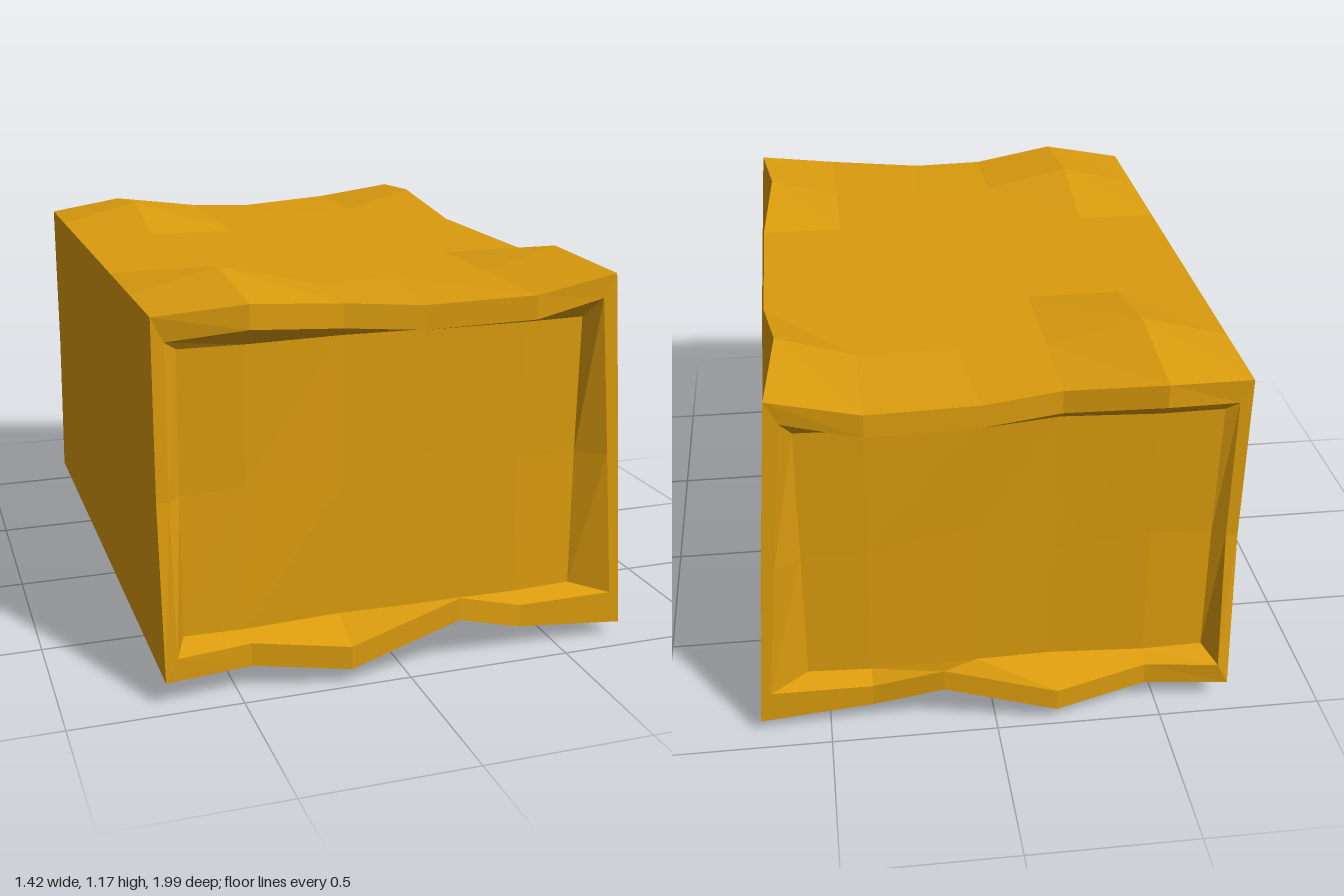
import * as THREE from 'three';

// Each ring: 6 bottom points (left to right), right middle, 6 top points (right to left), left middle
const END = [
  [-0.715, 0.08, 0.965], [-0.46, 0.08, 0.935], [-0.18, 0.055, 0.995], [0.16, 0.15, 0.975], [0.37, 0.08, 0.935], [0.71, 0.047, 0.935],
  [0.672, 0.6, 0.935],
  [0.63, 1.145, 0.935], [0.37, 1.105, 0.965], [0.05, 1.09, 0.925], [-0.18, 1.105, 0.898], [-0.46, 1.135, 0.955], [-0.715, 1.105, 0.9],
  [-0.715, 0.59, 0.905],
];
const BULGE = [
  [-0.715, 0.08, 0.62], [-0.46, 0.08, 0.62], [-0.18, 0.003, 0.645], [0.13, 0.115, 0.62], [0.37, 0.08, 0.62], [0.668, 0.08, 0.62],
  [0.63, 0.6, 0.62],
  [0.597, 1.17, 0.615], [0.37, 1.105, 0.62], [0.08, 1.105, 0.62], [-0.18, 1.105, 0.62], [-0.46, 1.17, 0.615], [-0.715, 1.105, 0.62],
  [-0.715, 0.59, 0.62],
];
const COLUMNS = [-0.715, -0.46, -0.18, 0.09, 0.37, 0.63];
const MIDDLE = [
  ...COLUMNS.map(x => [x, 0.08, 0.3]), [0.63, 0.6, 0.3],
  ...COLUMNS.map(x => [x, 1.105, 0.3]).reverse(), [-0.715, 0.59, 0.3],
];
// Rim edge: the end ring moved inward
const RIM = END.map(([x, y, z], i) => {
  const sx = i === 0 || i >= 12 ? 0.035 : i >= 5 && i <= 7 ? -0.037 : 0;
  const sy = i === 5 ? 0.103 : i < 6 ? 0.07 : i > 6 && i < 13 ? -0.07 : 0;
  return [x + sx, y + sy, z];
});
// Sunken end panel: straight outline, slightly uneven depth
const PX = [-0.645, -0.46, -0.18, 0.05, 0.37, 0.56];
const PZ = [0.885, 0.89, 0.872, 0.878, 0.885, 0.875];
const PANEL = [
  ...PX.map((x, j) => [x, 0.175, PZ[j]]), [0.56, 0.59, 0.87],
  ...PX.map((x, j) => [x, 1.01, PZ[j]]).reverse(), [-0.645, 0.59, 0.875],
];
const mirror = ring => ring.map(([x, y, z]) => [x, y, -z]);

// Strip of quads joining consecutive rings
function loft(rings) {
  const quads = [];
  for (let r = 0; r + 1 < rings.length; r++) {
    const a = rings[r], b = rings[r + 1];
    a.forEach((p, i) => {
      const k = (i + 1) % a.length;
      quads.push([p, b[i], b[k], a[k]]);
    });
  }
  return quads;
}

// Two rows of quads filling the panel ring
function panelQuads() {
  const mid = [PANEL[13], [-0.46, 0.6, 0.882], [-0.18, 0.57, 0.878], [0.06, 0.65, 0.872], [0.37, 0.6, 0.88], PANEL[6]];
  const quads = [];
  for (let j = 0; j < 5; j++) {
    quads.push([PANEL[j], PANEL[j + 1], mid[j + 1], mid[j]]);
    quads.push([mid[j], mid[j + 1], PANEL[11 - j], PANEL[12 - j]]);
  }
  return quads;
}

function facetMesh(name, quads, material) {
  const pos = quads.flatMap(([a, b, c, d]) => [a, b, c, a, c, d].flat());
  const geo = new THREE.BufferGeometry();
  geo.setAttribute('position', new THREE.Float32BufferAttribute(pos, 3));
  geo.computeVertexNormals();
  const mesh = new THREE.Mesh(geo, material);
  mesh.name = name;
  return mesh;
}

// Same faces on the opposite end, with the corner order reversed
const flip = quads => quads.map(q => mirror(q).reverse());

export function createModel() {
  const group = new THREE.Group();
  group.name = 'block';
  const ochre = new THREE.MeshStandardMaterial({ color: 0xdb9c0e });
  ochre.name = 'ochre';
  ochre.flatShading = true;

  // Dented outer shell
  const shell = loft([END, BULGE, MIDDLE, mirror(MIDDLE), mirror(BULGE), mirror(END)]);
  group.add(facetMesh('outerShell', shell, ochre));

  // Raised rim, recess walls and sunken panel at both ends
  const parts = { Rim: loft([RIM, END]), RecessWalls: loft([PANEL, RIM]), Panel: panelQuads() };
  for (const [part, quads] of Object.entries(parts)) {
    group.add(facetMesh('front' + part, quads, ochre));
    group.add(facetMesh('back' + part, flip(quads), ochre));
  }
  return group;
}
